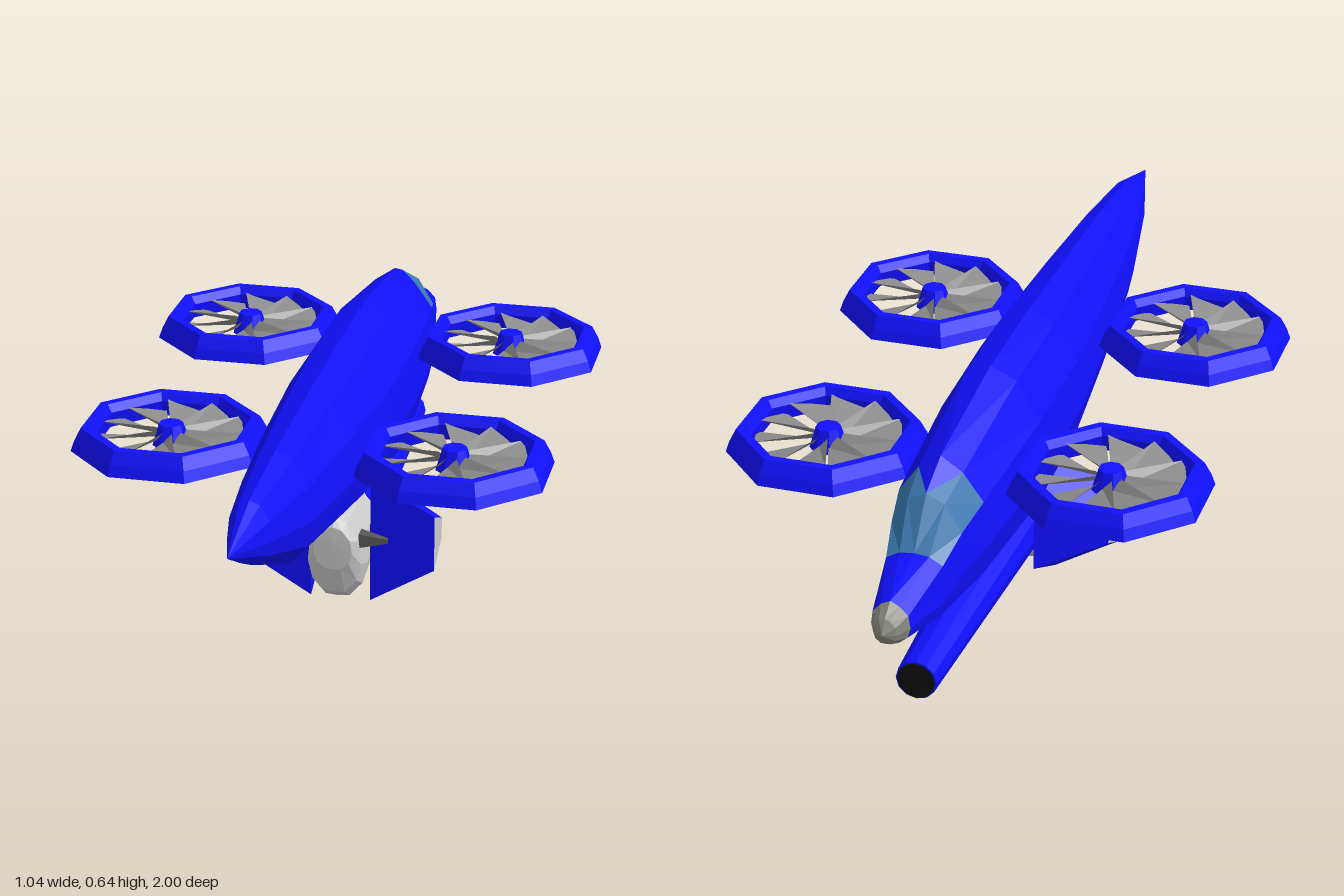
import * as THREE from 'three';

const paint = (color, side = THREE.FrontSide) =>
  new THREE.MeshStandardMaterial({ color, flatShading: true, side });
const blue = paint(0x1010ff);
const glass = paint(0x3a78b0);
const grey = paint(0xcccccc);
const noseGrey = paint(0x888880);
const darkGrey = paint(0x555555);
const black = paint(0x101010);
const bladeGrey = paint(0x8c8c8c, THREE.DoubleSide);

function addMesh(parent, name, geometry, material, x = 0, y = 0, z = 0) {
  const mesh = new THREE.Mesh(geometry, material);
  mesh.name = name;
  mesh.position.set(x, y, z);
  parent.add(mesh);
  return mesh;
}

function fromTriangles(points) {
  const geometry = new THREE.BufferGeometry();
  geometry.setAttribute('position', new THREE.Float32BufferAttribute(points.flat(), 3));
  geometry.computeVertexNormals();
  return geometry;
}

// Egg-shaped ring of ten points: z, half width, bottom, top, two shoulder heights
function ring([z, w, bottom, top, h1 = 0.93, h2 = 0.7]) {
  const half = [[0, 1], [0.47, h1], [0.9, h2], [1, 0.4], [0.84, 0.17], [0.4, 0.01], [0, 0]];
  const left = half.slice(1, -1).reverse().map(([x, y]) => [-x, y]);
  return [...half, ...left].map(([x, y]) => [x * w, bottom + y * (top - bottom), z]);
}

// Skin over rings ordered from +z to -z; pick(station, strip, triangle) sorts faces into named parts
function loft(stations, pick) {
  const rings = stations.map(ring);
  const parts = {};
  for (let s = 0; s < rings.length - 1; s++) {
    const a = rings[s], b = rings[s + 1], n = a.length;
    for (let i = 0; i < n; i++) {
      const j = (i + 1) % n;
      const faces = i < n / 2
        ? [[a[i], a[j], b[i]], [a[j], b[j], b[i]]]
        : [[a[i], a[j], b[j]], [a[i], b[j], b[i]]];
      faces.forEach((face, t) => {
        const key = pick(s, Math.min(i, n - 1 - i), t);
        (parts[key] ??= []).push(...face);
      });
    }
  }
  return parts;
}

function makeFuselage() {
  const group = new THREE.Group();
  group.name = 'fuselage';
  const stations = [
    [1, 0, 0.56, 0.56],
    [0.82, 0.047, 0.465, 0.608],
    [0.6, 0.08, 0.37, 0.625],
    [0.3, 0.107, 0.32, 0.635],
    [0, 0.127, 0.268, 0.643],
    [-0.28, 0.125, 0.247, 0.64],
    [-0.62, 0.103, 0.27, 0.6, 0.9, 0.71],
    [-0.715, 0.085, 0.283, 0.562, 0.93, 0.71],
    [-0.795, 0.068, 0.3, 0.465, 0.98, 0.88],
    [-0.945, 0.042, 0.343, 0.44, 0.9, 0.7],
    [-0.98, 0.025, 0.36, 0.418],
    [-1, 0, 0.39, 0.39],
  ];
  const parts = loft(stations, (s, strip, t) => {
    if (s >= 9) return 'noseCone';
    // Windscreen wraps the front and both sides, leaving a pointed roof
    if (strip < 2 && (s === 7 || (s === 6 && (strip === 1 || t === 1)))) return 'windscreen';
    return 'hull';
  });
  addMesh(group, 'hull', fromTriangles(parts.hull), blue);
  addMesh(group, 'windscreen', fromTriangles(parts.windscreen), glass);
  addMesh(group, 'noseCone', fromTriangles(parts.noseCone), noseGrey);
  return group;
}

function makeRotor(x, z) {
  const group = new THREE.Group();
  group.name = 'liftFan';
  group.position.set(x, 0.475, z);

  // Octagonal duct with a sloping outer wall
  const profile = [[0.172, 0], [0.222, 0], [0.213, 0.025], [0.198, 0.053],
    [0.178, 0.053], [0.168, 0.035], [0.172, 0]].map(([r, y]) => new THREE.Vector2(r, y));
  addMesh(group, 'duct', new THREE.LatheGeometry(profile, 8, Math.PI / 8), blue);
  addMesh(group, 'hub', new THREE.CylinderGeometry(0.027, 0.042, 0.05, 8, 1, false, Math.PI / 8),
    blue, 0, 0.026, 0);

  // Pitched blades
  const at = (r, angle, y) => [r * Math.cos(angle), y, r * Math.sin(angle)];
  const triangles = [];
  const count = 10, step = (Math.PI * 2) / count;
  for (let i = 0; i < count; i++) {
    const a0 = i * step, a1 = a0 + step * 0.97;
    const p = at(0.034, a0, 0.038), q = at(0.034, a1, 0.016);
    const r = at(0.166, a1, 0.012), s = at(0.166, a0, 0.04);
    triangles.push(p, q, s, q, r, s);
  }
  addMesh(group, 'blades', fromTriangles(triangles), bladeGrey);
  return group;
}

// Wedge-shaped shield beside the gun: a box with its eight corners moved
function makeShield(side) {
  const geometry = new THREE.BoxGeometry(1, 1, 1);
  const pos = geometry.attributes.position;
  for (let i = 0; i < pos.count; i++) {
    const outer = pos.getX(i) * side > 0, upper = pos.getY(i) > 0, rear = pos.getZ(i) > 0;
    const x = outer ? 0.22 : 0.07;
    let y, z;
    if (rear) {
      z = -0.015;
      y = outer ? (upper ? 0.225 : 0.09) : (upper ? 0.305 : 0);
    } else {
      z = outer ? -0.105 : -0.19;
      y = outer ? (upper ? 0.185 : 0.135) : (upper ? 0.23 : 0.09);
    }
    pos.setXYZ(i, side * x, y, z);
  }
  geometry.computeVertexNormals();
  const materials = Array(6).fill(blue);
  materials[side > 0 ? 0 : 1] = grey; // outer end panel
  const mesh = new THREE.Mesh(geometry, materials);
  mesh.name = side > 0 ? 'leftShield' : 'rightShield';
  return mesh;
}

function makeGun() {
  const group = new THREE.Group();
  group.name = 'gun';

  // Rounded breech housing
  const breech = loft([
    [0.07, 0, 0.18, 0.18],
    [0.068, 0.045, 0.11, 0.215],
    [0.05, 0.062, 0.045, 0.235],
    [0.015, 0.07, 0.02, 0.242],
    [-0.05, 0.07, 0.035, 0.24],
    [-0.14, 0.07, 0.085, 0.235],
    [-0.14, 0, 0.16, 0.16],
  ], () => 'breech').breech;
  addMesh(group, 'breech', fromTriangles(breech), grey);

  // Tapered barrel with a dark muzzle
  const barrel = new THREE.CylinderGeometry(0.045, 0.072, 0.68, 12);
  barrel.rotateX(-Math.PI / 2);
  addMesh(group, 'barrel', barrel, blue, 0, 0.16, -0.46);
  const muzzle = new THREE.CircleGeometry(0.042, 12);
  muzzle.rotateY(Math.PI);
  addMesh(group, 'muzzle', muzzle, black, 0, 0.16, -0.802);

  for (const side of [1, -1]) {
    group.add(makeShield(side));
    // Pointed side trunnion
    const pin = new THREE.CylinderGeometry(0.007, 0.024, 0.065, 4, 1, false, Math.PI / 4);
    pin.rotateZ(-side * Math.PI / 2);
    addMesh(group, 'trunnion', pin, darkGrey, side * 0.088, 0.176, 0.03);
  }
  return group;
}

export function createModel() {
  const model = new THREE.Group();
  model.name = 'gunship';
  model.add(makeFuselage(), makeGun());
  for (const x of [-0.316, 0.316]) {
    for (const z of [-0.44, 0.273]) model.add(makeRotor(x, z));
  }
  return model;
}
